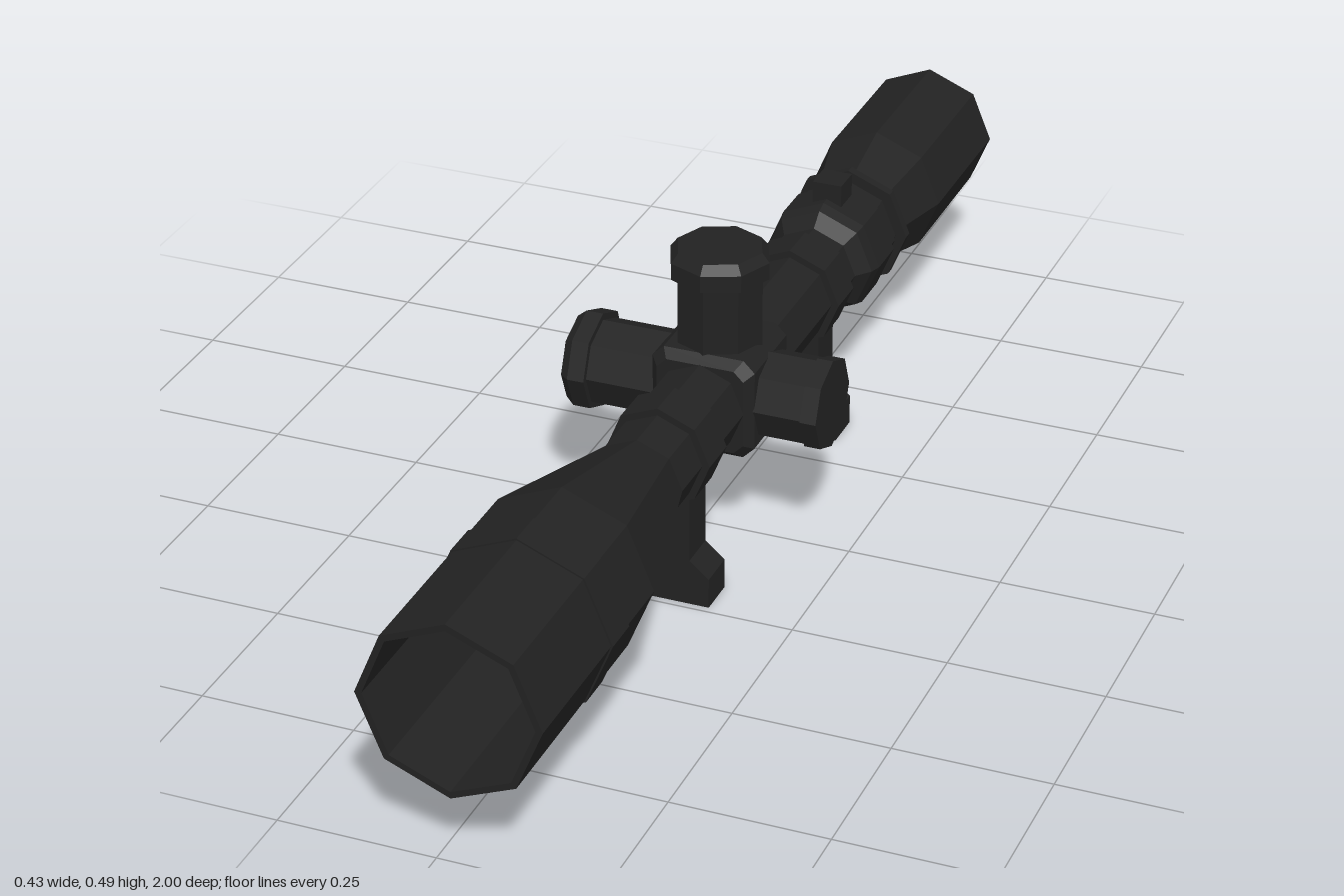
import * as THREE from 'three';

const CX = 0.025, CY = 0.25, TURRET_Z = -0.015;

// Faceted normals on every polygon
function facet(geometry) {
  const g = geometry.index ? geometry.toNonIndexed() : geometry;
  g.computeVertexNormals();
  return g;
}

// Eight-sided turned form, profile given as [radius, distance along axis]
function turned(profile, phase = 0) {
  return new THREE.LatheGeometry(profile.map(p => new THREE.Vector2(p[0], p[1])), 8, phase);
}

export function createModel() {
  const group = new THREE.Group();
  const body = new THREE.MeshStandardMaterial({ color: 0x222222 });
  body.name = 'matte black';
  const black = new THREE.MeshStandardMaterial({ color: 0x080808 });
  black.name = 'reticle black';

  function add(name, geometry, x = CX, y = CY, z = 0, material = body) {
    const mesh = new THREE.Mesh(facet(geometry), material);
    mesh.name = name;
    mesh.position.set(x, y, z);
    group.add(mesh);
    return mesh;
  }
  const alongZ = profile => turned(profile).rotateX(Math.PI / 2);
  const band = (name, z0, z1, r, inner = 0.068) =>
    add(name, alongZ([[inner, z0], [r, z0], [r, z1], [inner, z1]]));

  // Hollow main tube: outside from back to front, then the bore back again
  add('mainTube', alongZ([
    [0.102, -1], [0.113, -1], [0.113, -0.73], [0.085, -0.62], [0.085, -0.57],
    [0.073, -0.56], [0.073, 0.32], [0.143, 0.6], [0.143, 1],
    [0.132, 1], [0.132, 0.6], [0.066, 0.32], [0.066, -0.6], [0.102, -0.73], [0.102, -1],
  ]));

  // Raised bands
  band('objectiveBand', 0.7, 0.76, 0.146, 0.138);
  band('eyepieceRing', -0.608, -0.592, 0.104);
  add('zoomRing', alongZ([
    [0.068, -0.575], [0.09, -0.575], [0.09, -0.555], [0.099, -0.545],
    [0.099, -0.475], [0.093, -0.455], [0.073, -0.43],
  ]));
  add('zoomNub', new THREE.BoxGeometry(0.05, 0.045, 0.05), CX, 0.354, -0.515);

  // Mount rings with splayed feet
  for (const z of [0.205, -0.355]) {
    band('mountRing', z - 0.035, z + 0.035, 0.085);
    const half = [[0.083, 0], [0.083, 0.05], [0.051, 0.077], [0.051, 0.195]];
    const outline = [...half, [0, 0.172], ...half.slice().reverse().map(([x, y]) => [-x, y])];
    const foot = new THREE.Shape(outline.map(p => new THREE.Vector2(p[0], p[1])));
    const g = new THREE.ExtrudeGeometry(foot, { depth: 0.066, bevelEnabled: false });
    add('mountFoot', g.translate(0, 0, -0.033), CX, 0, z);
  }

  // Turret block: octagon pushed out to a square with cut corners, bored through
  const block = turned([[0.068, -0.084], [0.072, -0.084], [0.085, -0.068],
    [0.085, 0.068], [0.072, 0.084], [0.068, 0.084]], Math.PI / 8);
  const pos = block.attributes.position;
  for (let i = 0; i < pos.count; i++) {
    const x = pos.getX(i), z = pos.getZ(i), r = Math.hypot(x, z);
    if (r < 0.07) continue;
    const snap = v => Math.sign(v) * r * (Math.abs(v) > r / 2 ? 1 : 0.78);
    pos.setX(i, snap(x));
    pos.setZ(i, snap(z));
  }
  add('turretBlock', block.rotateX(Math.PI / 2), CX, CY, TURRET_Z);

  // Turrets: one on top and one on each side
  const capped = [[0.071, 0.075], [0.071, 0.197], [0.082, 0.197], [0.082, 0.225], [0.07, 0.24], [0, 0.24]];
  const plain = [[0.071, 0.075], [0.071, 0.162], [0.075, 0.162], [0.075, 0.188], [0, 0.188]];
  add('topTurret', turned(capped), CX, CY, TURRET_Z);
  add('rightTurret', turned(capped).rotateZ(Math.PI / 2), CX, CY, TURRET_Z);
  add('leftTurret', turned(plain).rotateZ(-Math.PI / 2), CX, CY, TURRET_Z);

  // Crosshair: heavy outer arms, fine centre and small ticks
  const reticle = new THREE.Group();
  reticle.name = 'reticle';
  reticle.position.set(CX, CY, -0.3);
  group.add(reticle);
  const bar = (x, y, w, h) => {
    const mesh = new THREE.Mesh(new THREE.BoxGeometry(w, h, 0.001), black);
    mesh.name = 'reticleBar';
    mesh.position.set(x, y, 0);
    reticle.add(mesh);
  };
  bar(0, 0, 0.074, 0.0006);
  bar(0, 0, 0.0006, 0.074);
  for (const s of [-1, 1]) {
    bar(s * 0.051, 0, 0.029, 0.002);
    bar(0, s * 0.051, 0.002, 0.029);
    bar(s * 0.037, 0, 0.0015, 0.008);
    bar(0, s * 0.037, 0.008, 0.0015);
  }
  return group;
}
